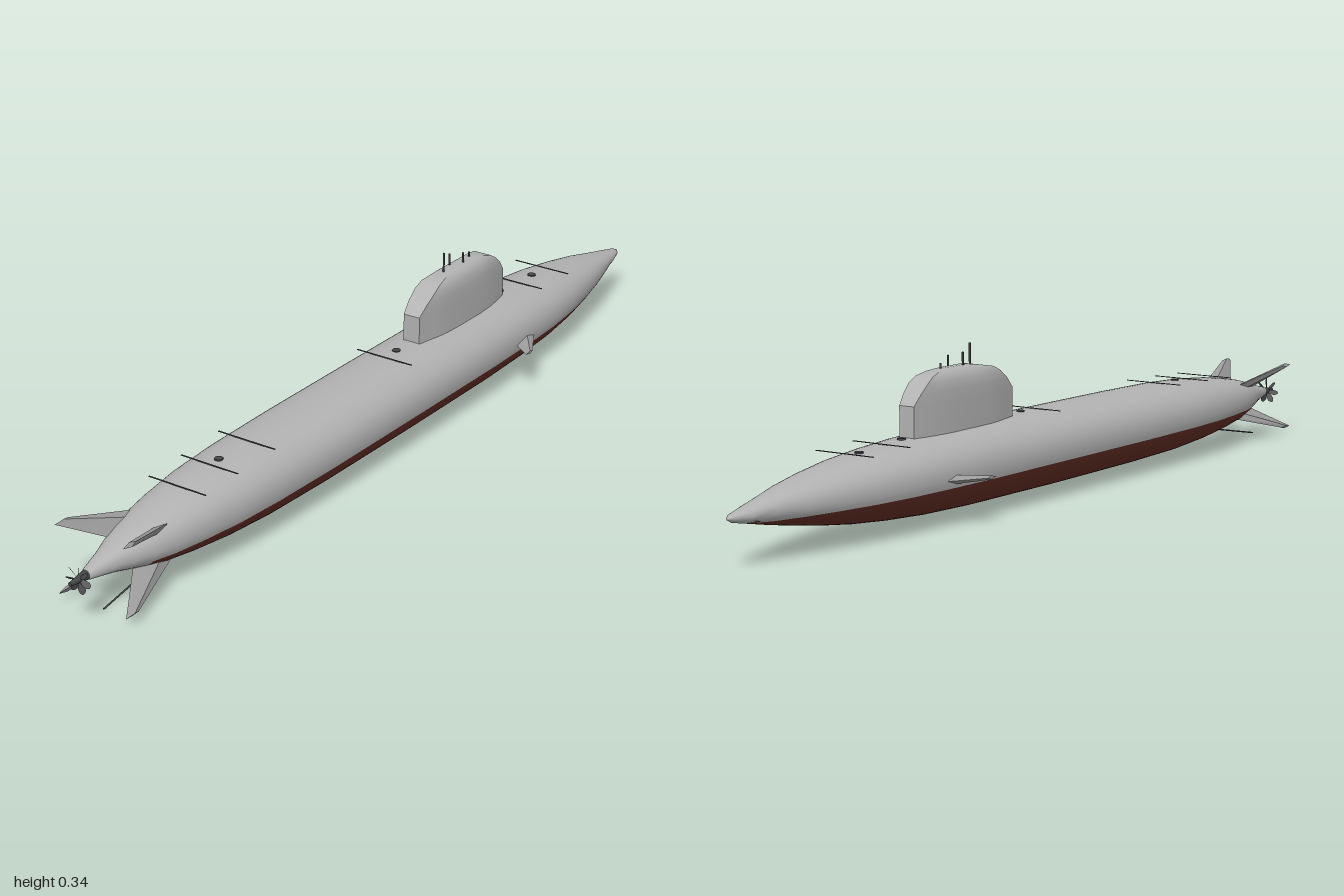
import * as THREE from 'three';
import { toCreasedNormals } from 'three/addons/utils/BufferGeometryUtils.js';

const mat = (name, color, side = THREE.FrontSide) => {
  const m = new THREE.MeshStandardMaterial({ color, side });
  m.name = name;
  return m;
};

// Skin a list of equal-length rings; optionally close each ring and cap the ends
function loft(rings, closed = false, caps = false) {
  const n = rings[0].length, idx = [], pos = rings.flat(2);
  for (let i = 0; i < rings.length - 1; i++) {
    for (let j = 0; j < (closed ? n : n - 1); j++) {
      const k = (j + 1) % n, a = i * n + j, b = i * n + k, c = a + n, d = b + n;
      idx.push(a, c, d, a, d, b);
    }
  }
  if (caps) {
    const e = (rings.length - 1) * n;
    for (let j = 1; j < n - 1; j++) idx.push(0, j, j + 1, e, e + j + 1, e + j);
  }
  const g = new THREE.BufferGeometry();
  g.setAttribute('position', new THREE.Float32BufferAttribute(pos, 3));
  g.setIndex(idx);
  g.computeVertexNormals();
  return g;
}

// Hull stations: x, top, bottom, half-width
const AXIS = 0.097, WATER = 0.08, RED_END = -0.82;
const STATIONS = [
  [-0.955, 0.108, 0.086, 0.011], [-0.9, 0.121, 0.077, 0.027], [-0.86, 0.132, 0.068, 0.042],
  [-0.82, 0.142, 0.058, 0.056], [-0.77, 0.151, 0.046, 0.069], [-0.7, 0.161, 0.036, 0.081],
  [-0.6, 0.17, 0.026, 0.094], [-0.48, 0.175, 0.018, 0.101], [-0.3, 0.177, 0.014, 0.105],
  [0, 0.178, 0.012, 0.106], [0.3, 0.178, 0.013, 0.106], [0.45, 0.175, 0.017, 0.103],
  [0.56, 0.169, 0.024, 0.098], [0.66, 0.161, 0.033, 0.087], [0.75, 0.15, 0.045, 0.071],
  [0.83, 0.137, 0.058, 0.054], [0.9, 0.122, 0.071, 0.035], [0.95, 0.112, 0.081, 0.022],
  [0.985, 0.105, 0.088, 0.011], [1, 0.098, 0.096, 0.001],
];

// Part of the hull above or below the waterline
function hullPatch(x0, x1, upper) {
  const rings = STATIONS.filter((s) => s[0] >= x0 && s[0] <= x1).map(([x, top, bot, w]) => {
    const dip = Math.asin(Math.min(1, (AXIS - WATER) / (AXIS - bot)));
    const from = upper ? -dip : Math.PI + dip;
    const to = upper ? Math.PI + dip : Math.PI * 2 - dip;
    return Array.from({ length: 33 }, (_, j) => {
      const t = from + ((to - from) * j) / 32, s = Math.sin(t), c = Math.cos(t);
      const e = s > 0 ? 0.9 : 1;
      return [x, AXIS + (s > 0 ? top - AXIS : AXIS - bot) * Math.sign(s) * Math.abs(s) ** e,
        w * Math.sign(c) * Math.abs(c) ** e];
    });
  });
  return loft(rings);
}

// Sail: lens-shaped plan, ends rounded off towards the top
function sailGeometry() {
  const plan = [[0.12, 0.02], [0.2, 0.033], [0.27, 0.035], [0.35, 0.034], [0.41, 0.028], [0.46, 0.018]];
  const widthAt = (x) => {
    const i = Math.max(1, plan.findIndex((p) => p[0] >= x));
    const [a, b] = [plan[i - 1], plan[i]];
    return a[1] + ((b[1] - a[1]) * (x - a[0])) / (b[0] - a[0]);
  };
  const levels = [[0.165, 0.122, 0.458, 1], [0.238, 0.122, 0.458, 1], [0.262, 0.147, 0.438, 0.98],
    [0.28, 0.173, 0.418, 0.9], [0.291, 0.195, 0.4, 0.74], [0.298, 0.235, 0.37, 0.5], [0.302, 0.265, 0.34, 0.2]];
  const rings = levels.map(([y, a, b, k]) => {
    const xs = Array.from({ length: 12 }, (_, i) => b + ((a - b) * i) / 11);
    const side = xs.map((x) => [x, y, widthAt(x) * k]);
    return [...side, ...side.map(([x, , z]) => [x, y, -z]).reverse()];
  });
  return toCreasedNormals(loft(rings, true, true), 0.6);
}

// Swept fin growing along +y: [radius, leading x, trailing x, half thickness] at root and tip
function finGeometry(...ends) {
  const rings = ends.map(([r, lead, trail, t]) => {
    const m = lead * 0.6 + trail * 0.4;
    return [[lead, r, 0], [m, r, t], [trail, r, 0], [m, r, -t]];
  });
  return toCreasedNormals(loft(rings, true, true), 0.4);
}

export function createModel() {
  const model = new THREE.Group();
  model.name = 'submarine';
  const grey = mat('hull grey', 0xb2b2b2);
  const red = mat('underside red', 0x642e24);
  const finGrey = mat('fin grey', 0x9c9c9c);
  const dark = mat('dark fittings', 0x444648, THREE.DoubleSide);

  const add = (name, geo, material, x = 0, y = 0, z = 0, parent = model) => {
    const m = new THREE.Mesh(geo, material);
    m.name = name;
    m.position.set(x, y, z);
    parent.add(m);
    return m;
  };

  // Hull
  add('upperHull', hullPatch(-1, 1, true), grey);
  add('lowerHull', hullPatch(RED_END, 1, false), red);
  add('tailUnderside', hullPatch(-1, RED_END, false), grey);

  // Sail with masts
  add('sail', sailGeometry(), grey);
  for (const [x, top, z] of [[0.245, 0.343, 0], [0.28, 0.328, -0.008], [0.31, 0.324, 0.007], [0.345, 0.312, 0]]) {
    const h = top - 0.285;
    add('mast', new THREE.CylinderGeometry(0.0022, 0.0022, h, 8), dark, x, top - h / 2, z);
  }

  // Diagonal stern fins
  const sternFin = finGeometry([0.035, -0.69, -0.85, 0.008], [0.112, -0.905, -0.942, 0.005]);
  for (const a of [0.84, 2.3, -0.84, -2.3]) {
    add('sternFin', sternFin, finGrey, 0, AXIS, 0).rotation.x = a;
  }

  // Bow planes
  const bowPlane = finGeometry([0.085, 0.49, 0.4, 0.011], [0.146, 0.385, 0.358, 0.004]);
  for (const s of [1, -1]) add('bowPlane', bowPlane, finGrey, 0, AXIS, 0).rotation.x = (s * Math.PI) / 2;

  // Thin strut trailing below the stern
  const strut = new THREE.LineCurve3(new THREE.Vector3(-0.7, 0.04, 0), new THREE.Vector3(-0.91, 0.002, 0));
  add('sternStrut', new THREE.TubeGeometry(strut, 1, 0.0018, 6), dark);

  // Transverse deck bars and small hatches
  for (const [x, y] of [[0.655, 0.17], [0.54, 0.173], [0.02, 0.179], [-0.46, 0.177], [-0.58, 0.173], [-0.68, 0.168]]) {
    add('deckBar', new THREE.BoxGeometry(0.003, 0.0015, 0.142), dark, x, y, 0);
  }
  for (const [x, y] of [[0.61, 0.166], [0.475, 0.1745], [0.065, 0.178], [-0.55, 0.1725]]) {
    add('hatch', new THREE.CylinderGeometry(0.009, 0.009, 0.004, 16), dark, x, y, 0);
  }

  // Propeller
  const propeller = new THREE.Group();
  propeller.name = 'propeller';
  propeller.position.set(-0.975, AXIS, 0);
  model.add(propeller);
  const hub = add('hub', new THREE.CylinderGeometry(0.011, 0.004, 0.05, 16), dark, 0, 0, 0, propeller);
  hub.rotation.z = -Math.PI / 2;
  const bladeShape = new THREE.Shape();
  bladeShape.moveTo(-0.003, 0.006);
  bladeShape.quadraticCurveTo(-0.013, 0.022, -0.004, 0.031);
  bladeShape.quadraticCurveTo(0.01, 0.03, 0.003, 0.006);
  const blade = new THREE.ShapeGeometry(bladeShape, 6).rotateY(0.8);
  for (let i = 0; i < 7; i++) {
    add('blade', blade, dark, 0, 0, 0, propeller).rotation.x = (i * Math.PI * 2) / 7;
  }
  return model;
}
